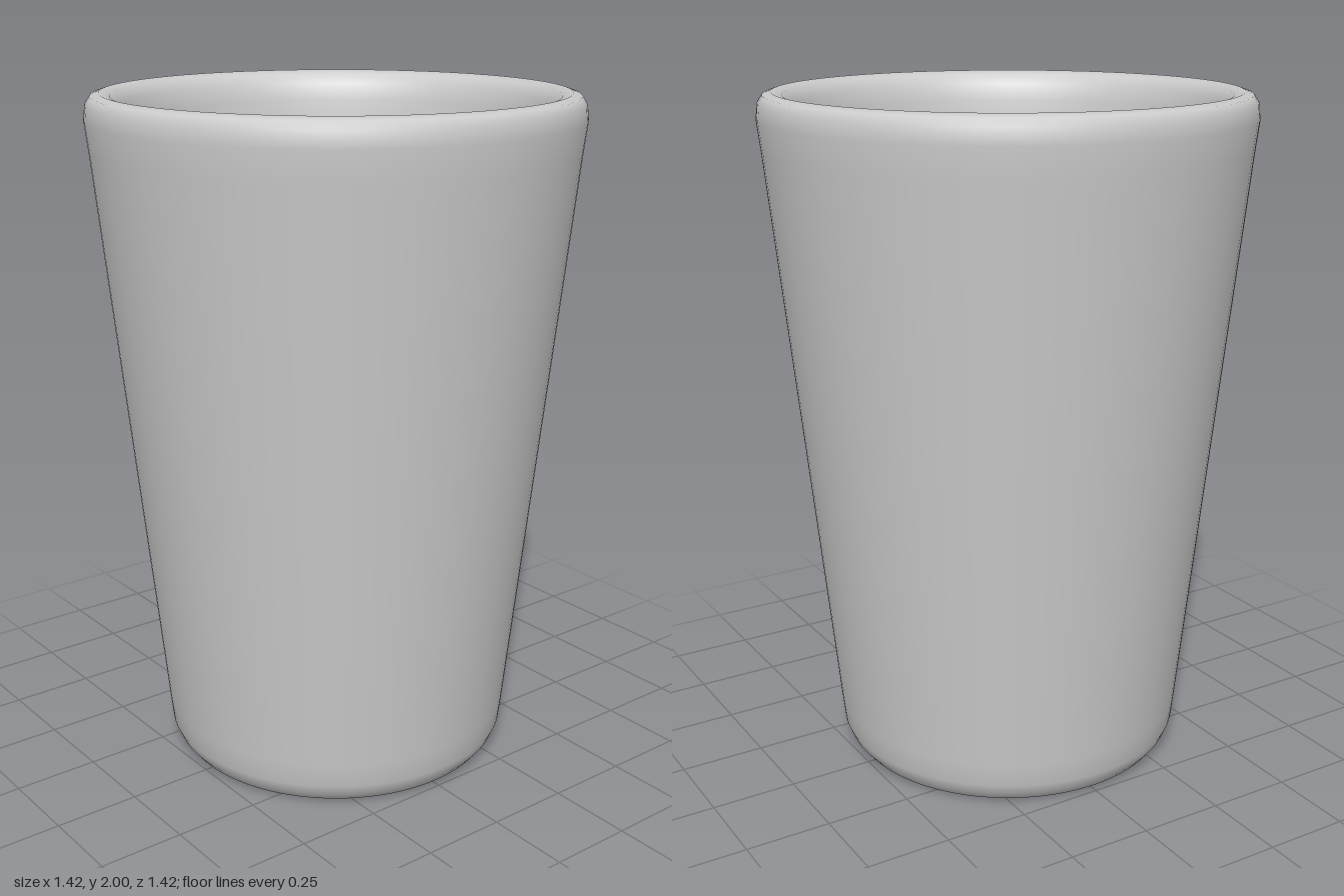
import * as THREE from 'three';
import { mergeVertices } from 'three/addons/utils/BufferGeometryUtils.js';

const SIDES = 96;

export function createModel() {
  const model = new THREE.Group();

  // Tapered cup: one closed profile from under the foot, over the rim, to the inner floor
  const profile = [
    [0, 0.03], [0.34, 0.03], [0.38, 0.02], [0.42, 0.004], [0.45, 0],
    [0.485, 0.01], [0.505, 0.035], [0.52, 0.07], [0.528, 0.14],
    [0.70, 1.84], [0.71, 1.925], [0.705, 1.97], [0.69, 1.992], [0.665, 2],
    [0.635, 1.99], [0.612, 1.96], [0.60, 1.91], [0.592, 1.84],
    [0.435, 0.24], [0.42, 0.17], [0.38, 0.13], [0.33, 0.12], [0, 0.12],
  ].map(([r, y]) => new THREE.Vector2(r, y));
  const cup = new THREE.Mesh(
    new THREE.LatheGeometry(profile, SIDES),
    new THREE.MeshStandardMaterial({ color: 0xcccccc })
  );
  cup.name = 'cup';
  model.add(cup);

  // Drink: a tapered plug with normals smoothed over its edge, so it shades like a dome
  const floor = 0.2, level = 1.32;
  let plug = new THREE.CylinderGeometry(0.54, 0.425, level - floor, SIDES);
  plug.deleteAttribute('normal');
  plug.deleteAttribute('uv');
  plug = mergeVertices(plug);
  plug.computeVertexNormals();
  const drink = new THREE.Mesh(plug, new THREE.MeshStandardMaterial({ color: 0xf010d8 }));
  drink.name = 'drink';
  drink.position.y = (floor + level) / 2;
  model.add(drink);

  return model;
}
